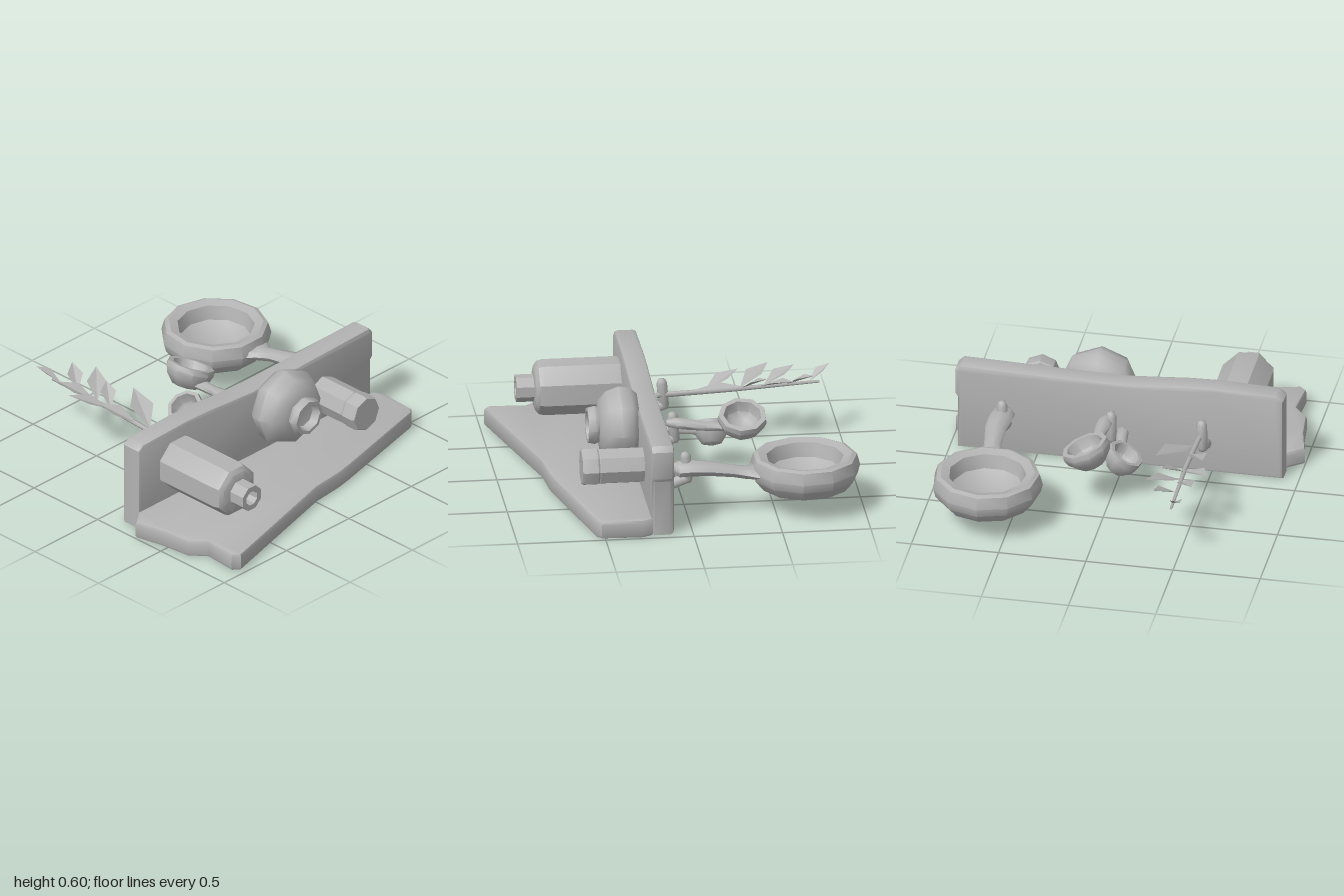
import * as THREE from 'three';
import { toCreasedNormals } from 'three/addons/utils/BufferGeometryUtils.js';

const grey = new THREE.MeshStandardMaterial({ color: 0xb3b3b3 });
grey.name = 'plainGrey';
const greyLeaf = grey.clone();
greyLeaf.name = 'plainGreyThin';
greyLeaf.side = THREE.DoubleSide;

const vectors = (pts) => pts.map(([x, y]) => new THREE.Vector2(x, y));

function part(name, geometry, crease = 0.7, material = grey) {
  const mesh = new THREE.Mesh(toCreasedNormals(geometry, crease), material);
  mesh.name = name;
  return mesh;
}

// Bevelled plank from an outline, occupying 0..thickness along z
function plank(outline, thickness, bevel) {
  const geo = new THREE.ExtrudeGeometry(new THREE.Shape(vectors(outline)), {
    depth: thickness - 2 * bevel, bevelThickness: bevel, bevelSize: bevel,
    bevelOffset: -bevel, bevelSegments: 2,
  });
  return geo.translate(0, 0, bevel);
}

// Vessel turned around an axis pointing to the front
function vessel(name, profile, x, y, turn, crease) {
  const geo = new THREE.LatheGeometry(vectors(profile), 8);
  geo.rotateY(turn).rotateX(Math.PI / 2).translate(x, y, 0);
  return part(name, geo, crease);
}

// Oval rings [x, y, z, halfWidth, halfHeight] running towards -z, capped at both ends
function loft(rings, sides = 8) {
  const first = rings[0], last = rings[rings.length - 1];
  const all = [[...first.slice(0, 3), 0, 0], ...rings, [...last.slice(0, 3), 0, 0]];
  const pos = [], idx = [];
  all.forEach(([x, y, z, w, h], i) => {
    for (let k = 0; k < sides; k++) {
      const t = (k / sides) * Math.PI * 2;
      pos.push(x + w * Math.cos(t), y + h * Math.sin(t), z);
      if (i === all.length - 1) continue;
      const a = i * sides + k, b = i * sides + (k + 1) % sides;
      idx.push(a, a + sides, b, b, a + sides, b + sides);
    }
  });
  const geo = new THREE.BufferGeometry();
  geo.setAttribute('position', new THREE.Float32BufferAttribute(pos, 3));
  geo.setIndex(idx);
  return geo;
}

// Rounded rod between two points
function rod(name, a, b, r) {
  const from = new THREE.Vector3(...a), to = new THREE.Vector3(...b);
  const dir = to.clone().sub(from);
  const geo = new THREE.CapsuleGeometry(r, dir.length(), 2, 8);
  geo.applyQuaternion(new THREE.Quaternion().setFromUnitVectors(new THREE.Vector3(0, 1, 0), dir.normalize()));
  const mid = from.add(to).multiplyScalar(0.5);
  return part(name, geo.translate(mid.x, mid.y, mid.z), 1.2);
}

// Open bowl, tilted sideways
function bowl(name, r, depth, center, tilt) {
  const geo = new THREE.LatheGeometry(vectors([
    [0, -depth], [r * 0.55, -depth * 0.88], [r * 0.9, -depth * 0.42], [r, -0.01], [r * 0.96, 0.02],
    [r * 0.76, 0.02], [r * 0.66, -depth * 0.35], [r * 0.4, -depth * 0.62], [0, -depth * 0.7],
  ]), 9);
  return part(name, geo.rotateZ(tilt).translate(...center), 0.8);
}

// Folded diamond leaf from base to tip, each given as [x, y, z]
function leaf(base, tip, width) {
  const a = new THREE.Vector3(...base), b = new THREE.Vector3(...tip);
  const dir = b.clone().sub(a);
  const side = new THREE.Vector3(-dir.z, 0, dir.x).normalize().multiplyScalar(width);
  const mid = a.clone().lerp(b, 0.5);
  const l = mid.clone().add(side), r = mid.clone().sub(side);
  l.y += 0.02; r.y += 0.02;
  const geo = new THREE.BufferGeometry().setFromPoints([a, l, b, a, b, r]);
  geo.computeVertexNormals();
  return part('leaf', geo, 0.3, greyLeaf);
}

export function createModel() {
  const model = new THREE.Group();
  model.name = 'kitchenShelf';

  // Ragged flat board
  const ragged = [[-1, 0.3], [-0.91, 0.23], [0.97, 0.23], [1, 0.29], [0.99, 0.52], [0.96, 0.55],
    [0.3, 0.71], [0.2, 0.73], [0, 0.75], [-0.84, 0.975], [-0.88, 0.94], [-0.865, 0.74],
    [-0.94, 0.65], [-0.96, 0.47]].map(([x, z]) => [x, -z]).reverse();
  model.add(part('flatBoard', plank(ragged, 0.11, 0.02).rotateX(-Math.PI / 2)));

  // Upright board with wavy top and a notch on one end
  const upright = [[-0.91, 0], [0.955, 0], [0.955, 0.32], [0.97, 0.34], [0.97, 0.5], [0.94, 0.53],
    [0.35, 0.515], [0, 0.51], [-0.15, 0.52], [-0.35, 0.535], [-0.52, 0.54], [-0.87, 0.53], [-0.91, 0.5]];
  model.add(part('uprightBoard', plank(upright, 0.13, 0.02).translate(0, 0, 0.108)));

  // Bottle, round pot and jar
  model.add(vessel('bottle', [[0, 0.22], [0.15, 0.22], [0.158, 0.26], [0.158, 0.67], [0.15, 0.7], [0.125, 0.72],
    [0.078, 0.725], [0.078, 0.825], [0.045, 0.825], [0.04, 0.75], [0, 0.75]], -0.6, 0.312, Math.PI / 8, 0.6));
  model.add(vessel('roundPot', [[0, 0.22], [0.18, 0.23], [0.215, 0.27], [0.226, 0.33], [0.2, 0.4], [0.15, 0.44],
    [0.105, 0.45], [0.115, 0.47], [0.105, 0.51], [0.085, 0.51], [0.075, 0.46], [0, 0.45]], 0.182, 0.378, 0, 0.9));
  model.add(vessel('jar', [[0, 0.22], [0.1, 0.23], [0.104, 0.26], [0.104, 0.485], [0.1, 0.49], [0.108, 0.5],
    [0.108, 0.575], [0.1, 0.588], [0, 0.588]], 0.56, 0.275, 0, 0.6));

  // Three pegs on the back
  for (const x of [-0.47, 0.05, 0.675]) {
    const hook = new THREE.Group();
    hook.name = 'hook';
    hook.add(rod('peg', [x, 0.185, 0.12], [x, 0.225, 0.01], 0.032));
    hook.add(rod('pegTip', [x, 0.225, 0.0], [x + 0.005, 0.36, 0.012], 0.03));
    model.add(hook);
  }

  // Frying pan
  const pan = new THREE.Group();
  pan.name = 'fryingPan';
  const dish = new THREE.LatheGeometry(vectors([[0, 0.11], [0.16, 0.115], [0.25, 0.14], [0.3, 0.2], [0.313, 0.25],
    [0.295, 0.315], [0.27, 0.325], [0.22, 0.31], [0.2, 0.23], [0.13, 0.18], [0, 0.17]]), 11);
  pan.add(part('panDish', dish.rotateY(Math.PI).translate(0.63, 0, -0.67), 0.6));
  pan.add(part('panHandle', loft([[0.675, 0.29, 0.085, 0.03, 0.025], [0.68, 0.285, 0.05, 0.068, 0.045],
    [0.685, 0.29, -0.02, 0.07, 0.045], [0.69, 0.285, -0.12, 0.062, 0.04], [0.68, 0.26, -0.26, 0.05, 0.035],
    [0.67, 0.245, -0.33, 0.06, 0.035], [0.655, 0.245, -0.4, 0.12, 0.03]]), 0.9));
  model.add(pan);

  // Two ladles
  const ladles = new THREE.Group();
  ladles.name = 'ladles';
  ladles.add(bowl('largeLadleBowl', 0.142, 0.12, [0.125, 0.365, -0.375], -0.4));
  ladles.add(part('largeLadleHandle', loft([[0.08, 0.33, 0.05, 0.02, 0.02], [0.085, 0.33, 0.0, 0.042, 0.032],
    [0.09, 0.325, -0.05, 0.045, 0.032], [0.1, 0.31, -0.16, 0.032, 0.027], [0.105, 0.305, -0.28, 0.04, 0.027]]), 1));
  ladles.add(bowl('smallLadleBowl', 0.108, 0.12, [-0.07, 0.25, -0.22], 0.55));
  ladles.add(part('smallLadleHandle', loft([[-0.005, 0.26, 0.045, 0.02, 0.018], [-0.008, 0.26, 0.02, 0.036, 0.028],
    [-0.015, 0.25, -0.04, 0.033, 0.026], [-0.03, 0.235, -0.13, 0.028, 0.022]]), 1));
  model.add(ladles);

  // Leafy sprig
  const sprig = new THREE.Group();
  sprig.name = 'sprig';
  sprig.add(part('stem', loft([[-0.455, 0.29, 0.04, 0.016, 0.016], [-0.45, 0.31, -0.4, 0.014, 0.014],
    [-0.465, 0.33, -0.88, 0.008, 0.008]], 6), 1.2));
  for (const [bx, bz, tx, tz, w] of [[-0.46, -0.82, -0.53, -0.945, 0.036], [-0.455, -0.69, -0.35, -0.84, 0.045],
    [-0.455, -0.56, -0.555, -0.75, 0.055], [-0.455, -0.54, -0.285, -0.715, 0.055],
    [-0.45, -0.44, -0.35, -0.57, 0.045], [-0.455, -0.43, -0.615, -0.605, 0.058],
    [-0.455, -0.23, -0.555, -0.43, 0.058], [-0.445, -0.13, -0.285, -0.42, 0.068]]) {
    const y = 0.3 - bz * 0.035;
    sprig.add(leaf([bx, y, bz], [tx, y + 0.085, tz], w));
  }
  model.add(sprig);

  return model;
}
